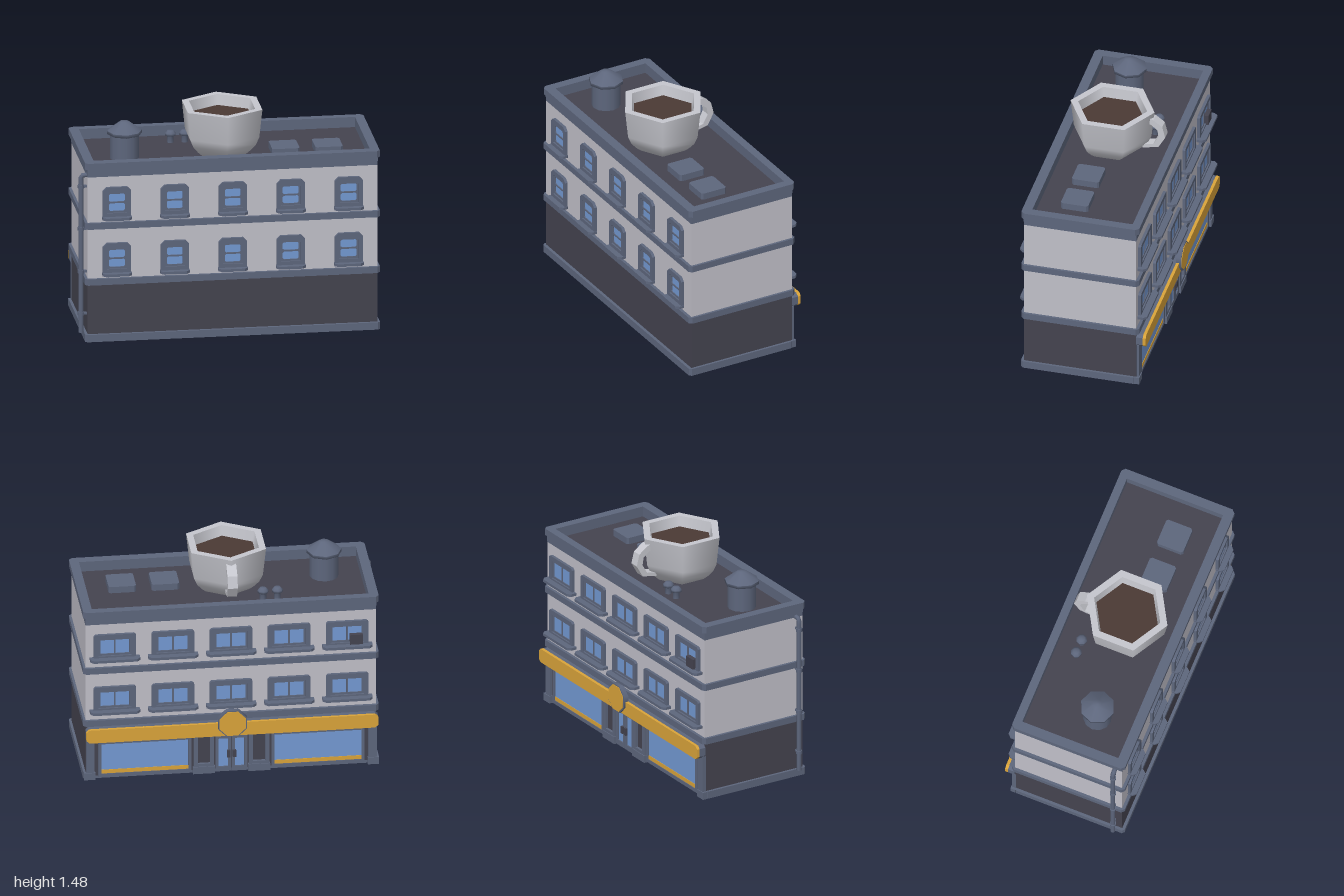
import * as THREE from 'three';

const mat = (name, color) => {
  const m = new THREE.MeshStandardMaterial({ color });
  m.name = name;
  return m;
};
const M = {
  wall: mat('pale wall', 0xc0bfc8), dark: mat('dark wall', 0x44434f), trim: mat('slate trim', 0x5d667c),
  glass: mat('blue glass', 0x7399d2), gold: mat('gold sign', 0xd9a33a), cup: mat('cup white', 0xc5c6cd),
  coffee: mat('coffee', 0x4b3934),
};

function add(parent, name, geo, material, x = 0, y = 0, z = 0) {
  const m = new THREE.Mesh(geo, material);
  m.name = name;
  m.position.set(x, y, z);
  parent.add(m);
  return m;
}
// Box given by its limits
function box(parent, name, material, x0, x1, y0, y1, z0, z1) {
  return add(parent, name, new THREE.BoxGeometry(x1 - x0, y1 - y0, z1 - z0), material,
    (x0 + x1) / 2, (y0 + y1) / 2, (z0 + z1) / 2);
}
// Rectangle with cut corners: b = bottom cut, t = top cut
function rect(x0, x1, y0, y1, b = 0, t = b) {
  const p = [[x0 + b, y0], [x1 - b, y0], [x1, y0 + b], [x1, y1 - t], [x1 - t, y1], [x0 + t, y1], [x0, y1 - t], [x0, y0 + b]];
  const pts = p.map(a => new THREE.Vector2(...a));
  return new THREE.Shape(pts.filter((a, i) => a.distanceTo(pts[(i + 1) % pts.length]) > 1e-5));
}
const extrude = (shape, depth) => new THREE.ExtrudeGeometry(shape, { depth, bevelEnabled: false });
// Horizontal slab with cut corners and an optional opening
function slab(parent, name, material, x0, x1, z0, z1, y0, y1, cut = 0, hole) {
  const s = rect(x0, x1, -z1, -z0, cut);
  if (hole) s.holes.push(rect(hole[0], hole[1], -hole[3], -hole[2]));
  return add(parent, name, extrude(s, y1 - y0).rotateX(-Math.PI / 2), material, 0, y0);
}
// Upright frame standing out from z = 0
function frame(parent, name, material, outer, holes, depth, z = 0) {
  outer.holes.push(...holes);
  return add(parent, name, extrude(outer, depth), material, 0, 0, z);
}

// Tall sash window, origin at bottom centre on the wall
function frontWindow() {
  const g = new THREE.Group();
  g.name = 'frontWindow';
  frame(g, 'windowFrame', M.trim, rect(-0.093, 0.093, 0.005, 0.22, 0, 0.025), [rect(-0.066, 0.066, 0.043, 0.185, 0, 0.012)], 0.02);
  box(g, 'windowGlass', M.glass, -0.064, 0.064, 0.045, 0.183, 0, 0.004);
  frame(g, 'sash', M.trim, rect(-0.066, 0.066, 0.043, 0.185),
    [rect(-0.053, 0.053, 0.055, 0.108, 0.008), rect(-0.053, 0.053, 0.119, 0.172, 0.008)], 0.01);
  slab(g, 'windowSill', M.trim, -0.097, 0.097, -0.02, 0.057, 0, 0.018, 0.022);
  return g;
}
// Wide two-pane window
function backWindow() {
  const g = new THREE.Group();
  g.name = 'backWindow';
  frame(g, 'windowFrame', M.trim, rect(-0.14, 0.14, 0.005, 0.185, 0, 0.012), [rect(-0.11, 0.11, 0.03, 0.155)], 0.02);
  box(g, 'windowGlass', M.glass, -0.108, 0.108, 0.031, 0.153, 0, 0.004);
  frame(g, 'sash', M.trim, rect(-0.11, 0.11, 0.03, 0.155),
    [rect(-0.096, -0.006, 0.043, 0.143), rect(0.006, 0.096, 0.043, 0.143)], 0.01);
  slab(g, 'windowSill', M.trim, -0.165, 0.165, -0.02, 0.063, 0, 0.018, 0.022);
  return g;
}

// Storefront, facing +z with z = 0 on the wall
function shopFront() {
  const g = new THREE.Group();
  g.name = 'shopFront';
  for (const s of [-1, 1]) {
    const b = (n, m, a, c, ...r) => box(g, n, m, Math.min(s * a, s * c), Math.max(s * a, s * c), ...r);
    // corner posts
    b('cornerPost', M.trim, 0.905, 0.96, 0, 0.3, -0.01, 0.018);
    b('cornerPostBase', M.trim, 0.9, 0.975, 0, 0.05, -0.01, 0.024);
    // display window
    const [l, r] = s > 0 ? [0.265, 0.88] : [-0.88, -0.265];
    frame(g, 'displayFrame', M.trim, rect(l, r, 0.015, 0.275), [rect(l + 0.02, r - 0.02, 0.035, 0.252)], 0.012);
    box(g, 'displayGlass', M.glass, l + 0.02, r - 0.02, 0.035, 0.252, 0, 0.004);
    box(g, 'displayStripe', M.gold, l + 0.02, r - 0.02, 0.035, 0.062, 0.002, 0.007);
    // panelled pillar beside the door
    const [pl, pr] = s > 0 ? [0.115, 0.25] : [-0.25, -0.115];
    frame(g, 'pillarFrame', M.trim, rect(pl, pr, 0, 0.3), [rect(pl + 0.027, pr - 0.027, 0.07, 0.27)], 0.018);
    b('pillarBase', M.trim, 0.11, 0.255, 0, 0.05, 0, 0.024);
    // door leaf
    const [dl, dr] = s > 0 ? [0.003, 0.105] : [-0.105, -0.003];
    frame(g, 'doorLeaf', M.trim, rect(dl, dr, 0.005, 0.27), [rect(dl + 0.02, dr - 0.02, 0.04, 0.245)], 0.012);
    box(g, 'doorGlass', M.glass, dl + 0.02, dr - 0.02, 0.04, 0.245, 0, 0.004);
    b('doorHandle', M.dark, 0.008, 0.03, 0.11, 0.16, 0.01, 0.024);
  }
  // sign board and medallion
  add(g, 'signBoard', extrude(rect(-0.965, 0.965, 0.29, 0.385, 0.02), 0.045), M.trim);
  add(g, 'signFace', extrude(rect(-0.965, 0.965, 0.29, 0.385, 0.02), 0.022), M.gold, 0, 0, 0.043);
  const disc = (name, r, d, m, z) => add(g, name,
    new THREE.CylinderGeometry(r, r, d, 8).rotateY(Math.PI / 8).rotateX(Math.PI / 2).toNonIndexed(), m, 0, 0.385, z);
  disc('medallion', 0.102, 0.035, M.trim, 0.062);
  disc('medallionFace', 0.094, 0.006, M.gold, 0.08);
  return g;
}

function lathe(parent, name, pts, sides, material, x, y, z) {
  return add(parent, name, new THREE.LatheGeometry(pts.map(p => new THREE.Vector2(...p)), sides), material, x, y, z);
}

export function createModel() {
  const g = new THREE.Group();
  g.name = 'coffeeShopBuilding';

  // walls and floor bands
  box(g, 'groundFloorWall', M.dark, -0.94, 0.98, 0.02, 0.4, -0.37, 0.39);
  box(g, 'upperWall', M.wall, -0.94, 0.98, 0.4, 1.135, -0.37, 0.39);
  slab(g, 'baseBand', M.trim, -0.958, 0.996, -0.369, 0.41, 0, 0.05, 0.015);
  for (const y of [0.39, 0.775]) slab(g, 'floorBand', M.trim, -0.958, 0.996, -0.39, 0.41, y, y + 0.043, 0.02);

  // parapet and roof
  const well = [-0.895, 0.935, -0.335, 0.345];
  slab(g, 'parapetWall', M.trim, -0.942, 0.982, -0.372, 0.392, 1.155, 1.188, 0, well);
  slab(g, 'parapetCap', M.trim, -0.958, 0.996, -0.39, 0.41, 1.185, 1.23, 0.022, well);
  box(g, 'parapetFoot', M.trim, -0.941, 0.981, 1.13, 1.156, -0.371, 0.391);
  box(g, 'roofDeck', M.dark, well[0], well[1], 1.15, 1.16, well[2], well[3]);

  // windows on both long sides
  for (let i = -2; i <= 2; i++) for (const up of [0, 0.385]) {
    const x = 0.02 + i * 0.384;
    const f = frontWindow();
    f.position.set(x, 0.455 + up, 0.39);
    const b = backWindow();
    b.position.set(x, 0.49 + up, -0.37);
    b.rotation.y = Math.PI;
    g.add(f, b);
  }
  box(g, 'airConditioner', M.dark, -0.85, -0.765, 0.895, 0.965, -0.405, -0.372);

  const shop = shopFront();
  shop.position.set(0.017, 0, -0.37);
  shop.rotation.y = Math.PI;
  g.add(shop);

  // giant six-sided cup
  const cup = new THREE.Group();
  cup.name = 'cup';
  cup.position.set(0, 1.158, 0.045);
  g.add(cup);
  lathe(cup, 'cupOuter', [[0, 0], [0.165, 0], [0.2, 0.03], [0.238, 0.072], [0.263, 0.127], [0.285, 0.32]], 6, M.cup);
  lathe(cup, 'cupRim', [[0.285, 0.32], [0.234, 0.32]], 6, M.cup);
  lathe(cup, 'cupInner', [[0.234, 0.32], [0.212, 0.225]], 6, M.cup);
  lathe(cup, 'coffee', [[0.218, 0.25], [0, 0.25]], 6, M.coffee);
  // handle outline in (distance behind the cup axis, height)
  const handle = new THREE.Shape([[0.24, 0.295], [0.285, 0.28], [0.345, 0.235], [0.365, 0.155], [0.32, 0.075], [0.21, 0.05],
    [0.215, 0.078], [0.285, 0.092], [0.32, 0.155], [0.312, 0.205], [0.27, 0.24], [0.235, 0.25]].map(p => new THREE.Vector2(...p)));
  add(cup, 'cupHandle', extrude(handle, 0.066).translate(0, 0, -0.033).rotateY(Math.PI / 2), M.cup);

  // water tank
  lathe(g, 'tankBody', [[0.095, 0], [0.095, 0.18]], 12, M.trim, -0.655, 1.155, 0.1);
  lathe(g, 'tankEave', [[0.09, 0.165], [0.115, 0.175], [0.115, 0.195]], 8, M.trim, -0.655, 1.155, 0.1);
  lathe(g, 'tankRoof', [[0.115, 0.195], [0.03, 0.258], [0, 0.26]], 8, M.trim, -0.655, 1.155, 0.1);

  // roof vents and hatches
  for (const x of [-0.31, -0.215]) {
    lathe(g, 'roofVent', [[0.022, 0], [0.022, 0.05], [0.036, 0.052], [0.036, 0.068], [0.02, 0.085], [0, 0.085]], 8, M.trim, x, 1.157, -0.19);
  }
  for (const x of [0.312, 0.598]) {
    slab(g, 'roofHatch', M.trim, x, x + 0.182, 0.01, 0.195, 1.157, 1.205, 0.012);
  }

  // drain pipe with brackets
  const path = new THREE.CurvePath();
  const v = (x, y) => new THREE.Vector3(x, y, 0.34);
  path.add(new THREE.LineCurve3(v(-0.978, 0.05), v(-0.978, 1.11)));
  path.add(new THREE.QuadraticBezierCurve3(v(-0.978, 1.11), v(-0.978, 1.133), v(-0.955, 1.133)));
  path.add(new THREE.LineCurve3(v(-0.955, 1.133), v(-0.93, 1.133)));
  add(g, 'drainPipe', new THREE.TubeGeometry(path, 60, 0.016, 8), M.trim);
  for (const y of [0.18, 0.47, 0.765, 1.055]) {
    add(g, 'pipeBracket', new THREE.CylinderGeometry(0.022, 0.022, 0.022, 8), M.trim, -0.978, y, 0.34);
    box(g, 'bracketArm', M.trim, -0.975, -0.935, y - 0.008, y + 0.008, 0.332, 0.348);
  }
  return g;
}
